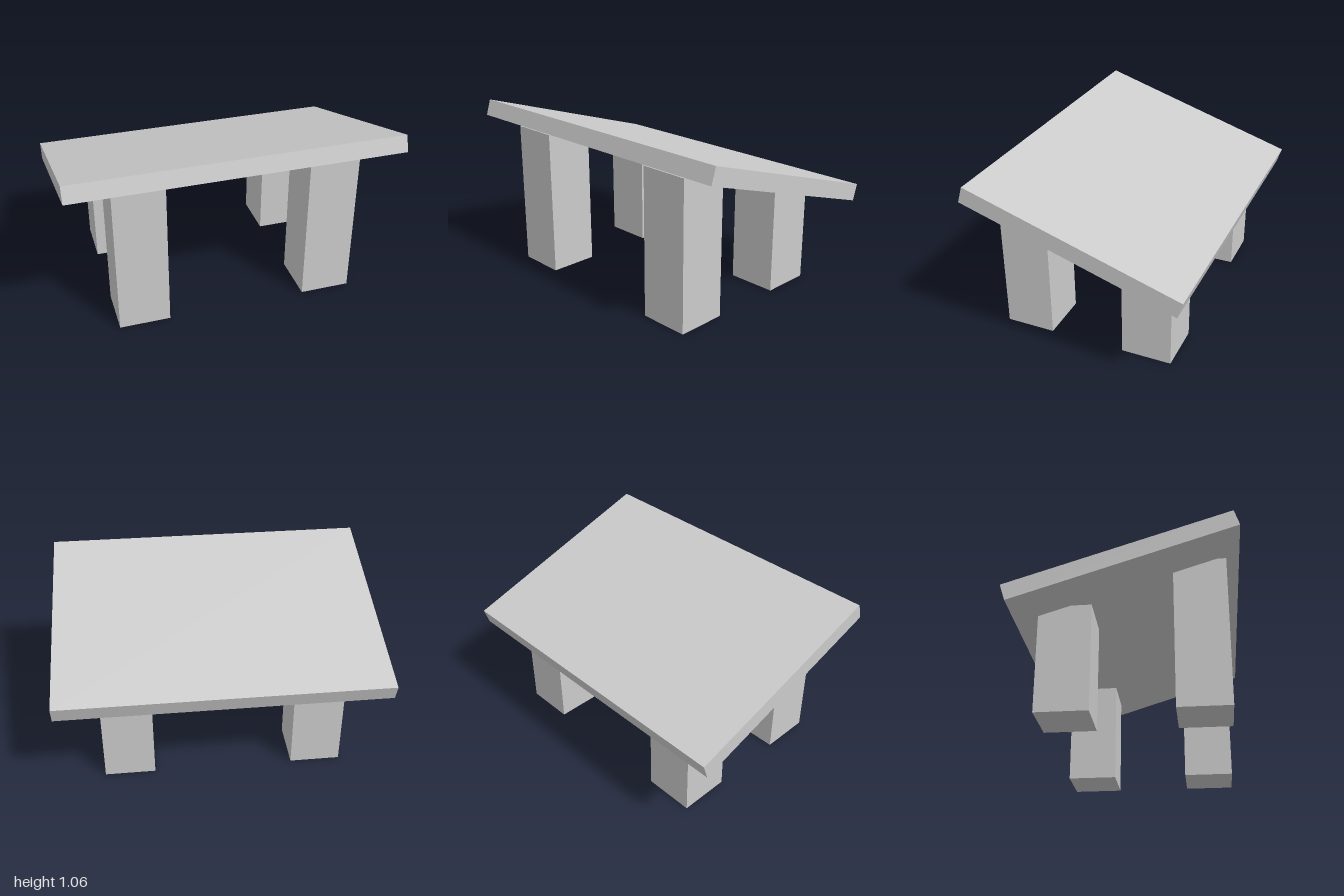
import * as THREE from 'three';

export function createModel() {
  const model = new THREE.Group();
  const material = new THREE.MeshStandardMaterial({ color: 0xcccccc, flatShading: true });

  const addBox = (name, size, position) => {
    const mesh = new THREE.Mesh(new THREE.BoxGeometry(...size), material);
    mesh.name = name;
    mesh.position.set(...position);
    model.add(mesh);
    return mesh;
  };

  // Sloping slab, high at the front
  const slab = addBox('slab', [2, 0.103, 1.352], [0, 0.805, 0]);
  slab.rotation.x = -0.304;

  // Square legs with flat tops sunk into the slab: tall in front, short behind
  const legWidth = 0.308;
  for (const [row, height, z] of [['front', 0.918, 0.429], ['back', 0.653, -0.347]]) {
    for (const [side, sign] of [['Left', 1], ['Right', -1]]) {
      addBox(`${row}${side}Leg`, [legWidth, height, legWidth], [sign * 0.583, height / 2, z]);
    }
  }

  return model;
}
